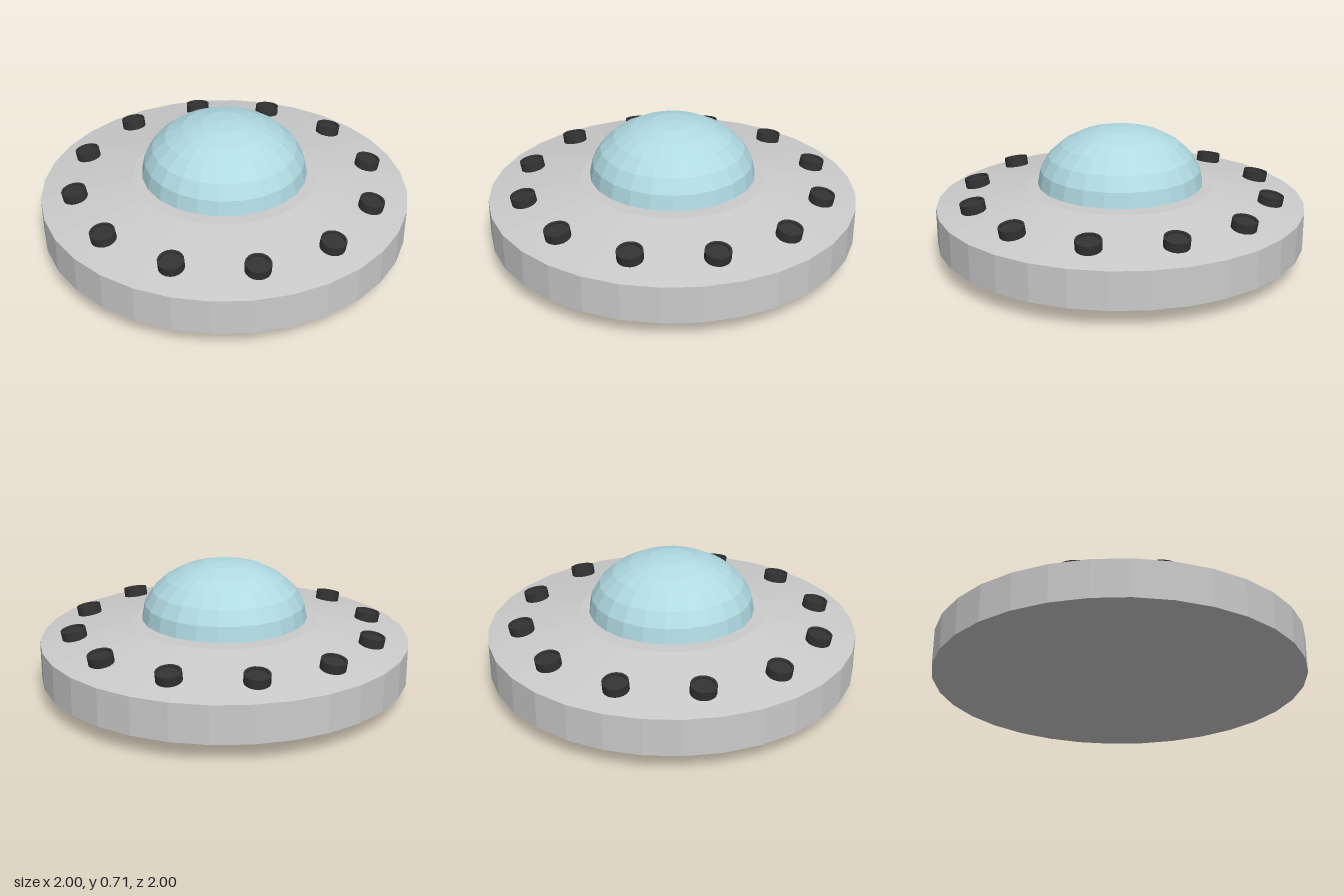
import * as THREE from 'three';

const material = (color, extra = {}) =>
  new THREE.MeshStandardMaterial({ color, flatShading: true, ...extra });

// Revolve a bottom-to-top list of [radius, height] pairs
const lathe = (profile, sides) =>
  new THREE.LatheGeometry(profile.map(([r, y]) => new THREE.Vector2(r, y)), sides);

export function createModel() {
  const group = new THREE.Group();

  // Saucer hull: flat base, sloped underside, upright rim, sloped deck
  const hull = new THREE.Mesh(
    lathe([[0, 0], [0.5, 0], [1, 0.1], [1, 0.3], [0.5, 0.39], [0, 0.39]], 32),
    material(0xcccccc)
  );
  hull.name = 'hull';
  group.add(hull);

  // Squashed half-sphere canopy, hovering just above the deck
  const dome = new THREE.Mesh(
    new THREE.SphereGeometry(0.45, 24, 6, 0, Math.PI * 2, 0, Math.PI / 2),
    material(0xb0dae2, { side: THREE.DoubleSide })
  );
  dome.name = 'dome';
  dome.scale.y = 0.31 / 0.45;
  dome.position.y = 0.405;
  group.add(dome);

  // Ring of twelve recessed lamps, tilted to follow the deck slope
  const lampGeometry = lathe(
    [[0, -0.025], [0.067, -0.025], [0.067, 0.025], [0.056, 0.025], [0.056, 0.012], [0, 0.012]], 20
  );
  const lampMaterial = material(0x333333);
  const lamps = new THREE.Group();
  lamps.name = 'lamps';
  const slope = Math.atan2(0.09, 0.5);
  for (let i = 0; i < 12; i++) {
    const mount = new THREE.Group();
    mount.name = 'lampMount';
    mount.rotation.y = (i * Math.PI) / 6;
    const lamp = new THREE.Mesh(lampGeometry, lampMaterial);
    lamp.name = 'lamp';
    lamp.position.set(0, 0.357, 0.818);
    lamp.rotation.x = slope;
    mount.add(lamp);
    lamps.add(mount);
  }
  group.add(lamps);

  return group;
}
